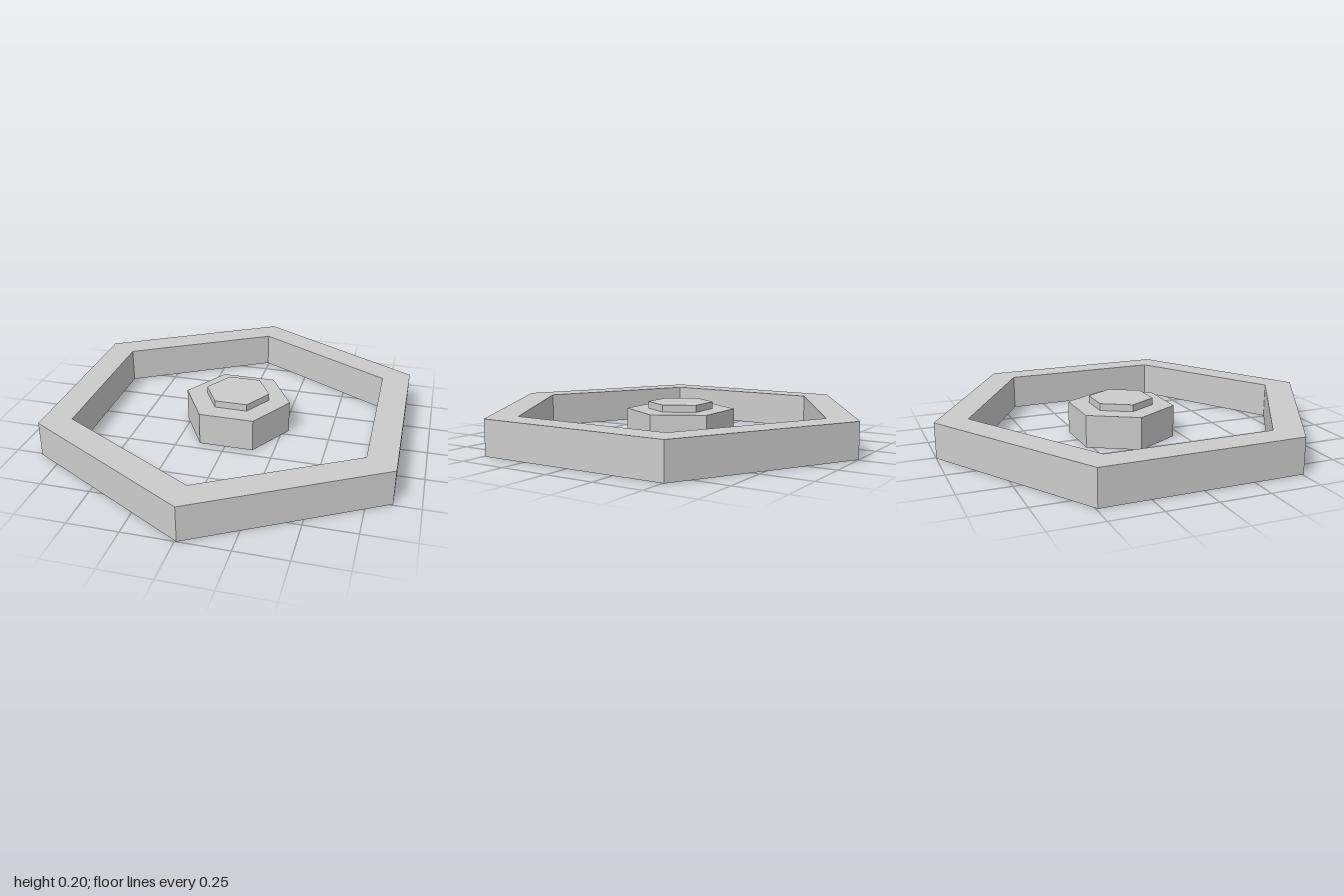
import * as THREE from 'three';

const material = new THREE.MeshStandardMaterial({ color: 0xcccccc, flatShading: true });

// Corners of a regular hexagon with points at the front and back
const hexagon = (radius) => Array.from({ length: 6 }, (_, i) => {
  const a = Math.PI / 2 + (i * Math.PI) / 3;
  return new THREE.Vector2(radius * Math.cos(a), radius * Math.sin(a));
});

// Hexagonal block with points at the left and right
function hexBlock(name, radius, bottom, top) {
  const geometry = new THREE.CylinderGeometry(radius, radius, top - bottom, 6);
  geometry.rotateY(Math.PI / 6);
  const mesh = new THREE.Mesh(geometry, material);
  mesh.name = name;
  mesh.position.set(0.006, (bottom + top) / 2, -0.04);
  return mesh;
}

export function createModel() {
  const group = new THREE.Group();
  group.name = 'hexagonalRingWithHub';

  // Outer ring, turned very slightly
  const shape = new THREE.Shape(hexagon(1));
  shape.holes.push(new THREE.Path(hexagon(0.836)));
  const ringGeometry = new THREE.ExtrudeGeometry(shape, { depth: 0.179, bevelEnabled: false });
  ringGeometry.rotateX(-Math.PI / 2);
  const ring = new THREE.Mesh(ringGeometry, material);
  ring.name = 'outerRing';
  ring.rotation.y = 0.009;
  group.add(ring);

  // Free-standing hub and its raised cap
  group.add(hexBlock('hub', 0.277, 0, 0.167));
  group.add(hexBlock('hubCap', 0.167, 0.167, 0.203));

  return group;
}
